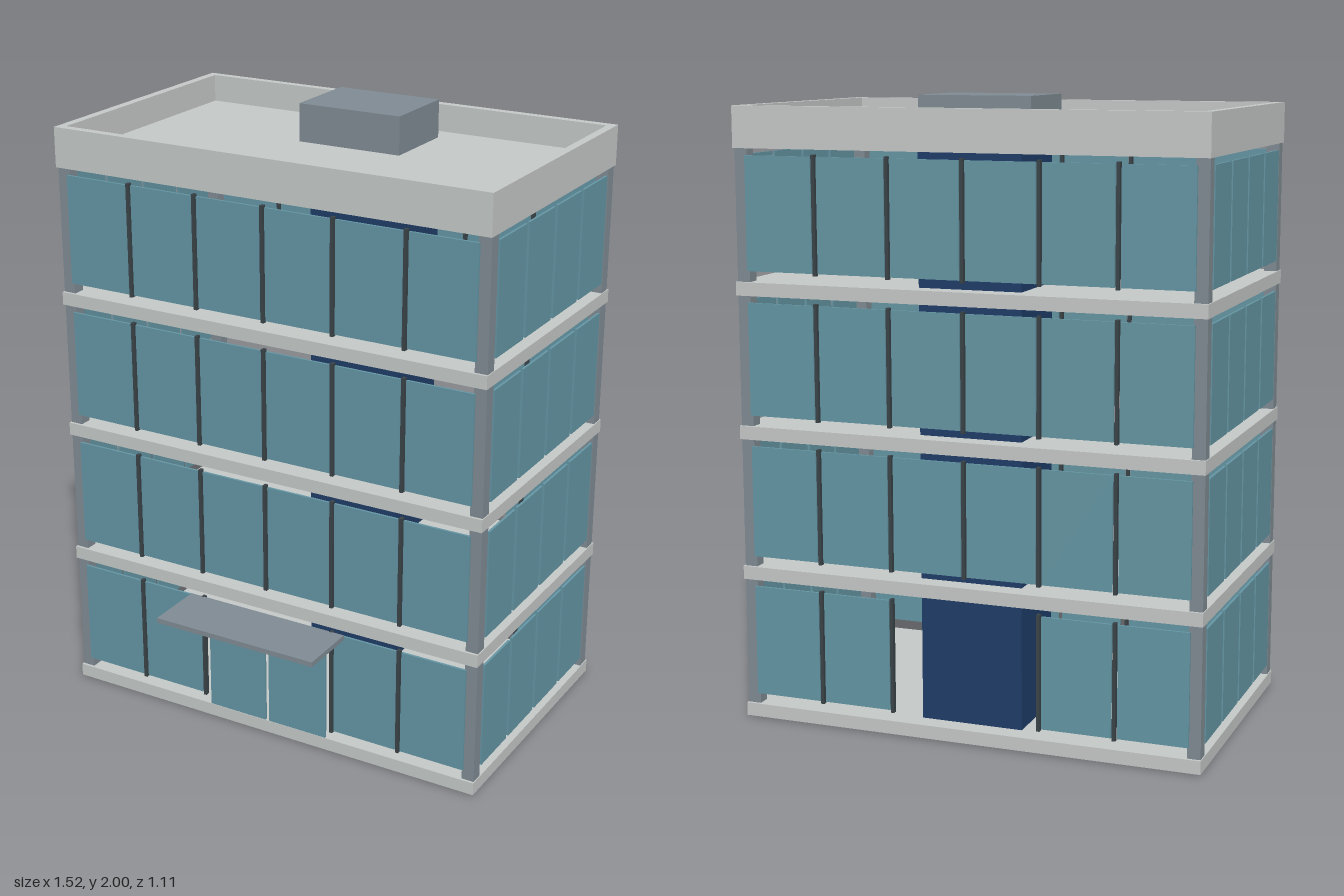
import * as THREE from 'three';

export function createModel() {
  const model = new THREE.Group();
  model.name = 'officeBlock';

  const mat = (name, color) => {
    const m = new THREE.MeshStandardMaterial({ color });
    m.name = name;
    return m;
  };
  const concrete = mat('concrete', 0xc5c9c7);
  const steel = mat('steelGrey', 0x7f8b93);
  const glass = mat('tealGlass', 0x6496a4);
  const navy = mat('navyCore', 0x1f3d68);
  const dark = mat('darkFrame', 0x3a4449);

  const group = (name) => {
    const g = new THREE.Group();
    g.name = name;
    model.add(g);
    return g;
  };
  // box given by its minimum and maximum on each axis
  const box = (parent, name, material, [x0, x1], [y0, y1], [z0, z1]) => {
    const mesh = new THREE.Mesh(new THREE.BoxGeometry(x1 - x0, y1 - y0, z1 - z0), material);
    mesh.position.set((x0 + x1) / 2, (y0 + y1) / 2, (z0 + z1) / 2);
    mesh.name = name;
    parent.add(mesh);
    return mesh;
  };
  const around = (c, size) => [c - size / 2, c + size / 2];

  const W = 0.76, ZC = -0.1, D = 0.456;        // half width, centre z, half depth
  const FLOORS = 4, STOREY = 0.4575, BASE = 0.005, SLAB = 0.043;
  const ROOF = BASE + FLOORS * STOREY;

  // floor slabs and roof deck
  const slabs = group('floorSlabs');
  for (let i = 0; i <= FLOORS; i++) {
    const y = BASE + i * STOREY;
    box(slabs, i < FLOORS ? 'floorSlab' : 'roofDeck', concrete, [-W, W], [y, y + (i < FLOORS ? SLAB : 0.04)], [ZC - D, ZC + D]);
  }

  // hollow parapet
  const T = 0.028;
  const rect = (target, w, d) => {
    target.moveTo(-w, -d);
    target.lineTo(w, -d);
    target.lineTo(w, d);
    target.lineTo(-w, d);
    target.closePath();
    return target;
  };
  const ring = rect(new THREE.Shape(), W, D);
  ring.holes.push(rect(new THREE.Path(), W - T, D - T));
  const parapetBase = ROOF + 0.04;
  const parapetGeo = new THREE.ExtrudeGeometry(ring, { depth: 1.965 - parapetBase, bevelEnabled: false });
  parapetGeo.rotateX(-Math.PI / 2);
  const parapet = new THREE.Mesh(parapetGeo, concrete);
  parapet.name = 'parapet';
  parapet.position.set(0, parapetBase, ZC);
  model.add(parapet);

  // corner columns
  const columns = group('cornerColumns');
  for (const sx of [-1, 1])
    for (const sz of [-1, 1])
      box(columns, 'cornerColumn', steel, around(sx * 0.736, 0.042), [0, ROOF], around(ZC + sz * 0.426, 0.042));

  // service core, rooftop plant room and entrance canopy
  box(model, 'serviceCore', navy, [-0.167, 0.167], [BASE + SLAB, ROOF], [-0.492, -0.222]);
  box(model, 'rooftopPlantRoom', steel, [-0.182, 0.182], [ROOF + 0.04, 2], [-0.45, -0.178]);
  box(model, 'entranceCanopy', steel, [-0.29, 0.29], [0.43, 0.447], [0.354, 0.556]);

  // glazing on every storey
  const windows = group('windows');
  const mullions = group('mullions');
  const BAY = 0.2435, SIDE_BAY = 0.202;
  for (let f = 0; f < FLOORS; f++) {
    const y = f * STOREY;
    const glassY = [y + 0.083, y + 0.441];
    for (const s of [-1, 1]) {
      const zFace = ZC + s * 0.45;
      // front and back, leaving the two middle bays open at ground level
      for (let i = 0; i < 6; i++) {
        if (f === 0 && (i === 2 || i === 3)) continue;
        box(windows, 'longWindow', glass, around((i - 2.5) * BAY, 0.224), glassY, around(zFace, 0.008));
      }
      for (let i = -2; i <= 2; i++) {
        if (f === 0 && i === 0) continue;
        box(mullions, 'mullion', dark, around(i * BAY, 0.011), [y + 0.076, y + 0.447], around(zFace, 0.016));
      }
      // sides
      for (let i = 0; i < 4; i++)
        box(windows, 'sideWindow', glass, around(s * 0.754, 0.008), glassY, around(ZC + (i - 1.5) * SIDE_BAY, 0.185));
    }
  }

  // entrance doors
  const doors = group('entranceDoors');
  for (const s of [-1, 1])
    box(doors, 'door', glass, around(s * 0.114, 0.214), [BASE + SLAB, 0.38], around(0.35, 0.009));

  return model;
}
